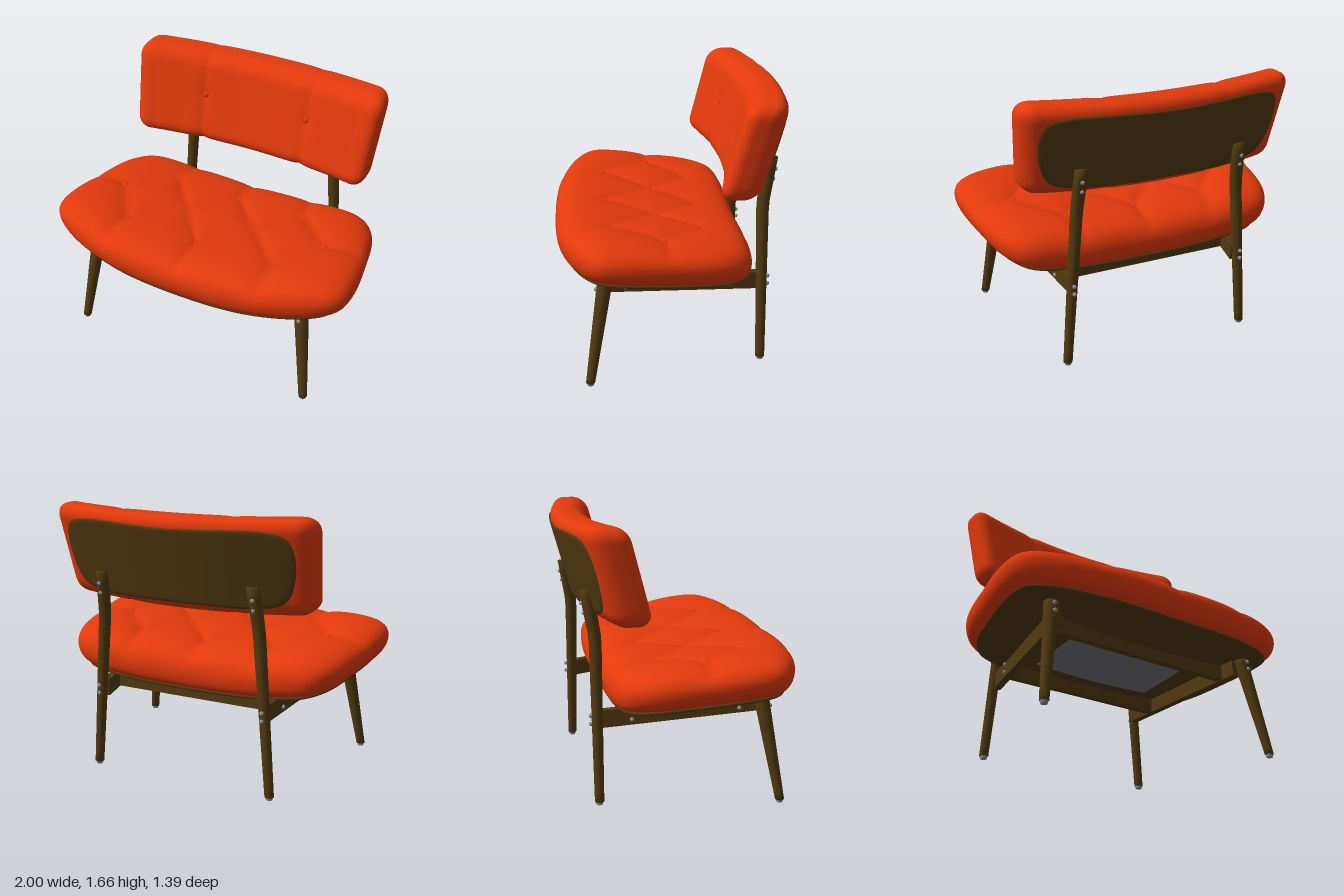
import * as THREE from 'three';
import { mergeVertices } from 'three/addons/utils/BufferGeometryUtils.js';

const mat = (name, color) => {
  const m = new THREE.MeshStandardMaterial({ color });
  m.name = name;
  return m;
};

// Closed, mirrored outline from half of its points (starting and ending on x = 0)
function outline(half, count) {
  const right = half.map(([x, v]) => new THREE.Vector3(x, v, 0));
  const left = half.slice(1, -1).reverse().map(([x, v]) => new THREE.Vector3(-x, v, 0));
  return new THREE.CatmullRomCurve3([...right, ...left], true).getSpacedPoints(count).slice(0, count);
}

// Lens-shaped pad: rings shrink from the outline to a pole on each side, place() sets each point
function pad(points, center, rows, topPower, bottomPower, place) {
  const pos = [], index = [], m = points.length;
  for (let j = 0; j <= rows; j++) {
    const a = (j / rows) * Math.PI, s = Math.sin(a), top = j <= rows / 2;
    const h = Math.sqrt(Math.max(0, 1 - s ** (top ? topPower : bottomPower))) * (top ? 1 : -1);
    for (const p of points) pos.push(...place(p.x * s, center + (p.y - center) * s, h));
    if (j === rows) break;
    for (let i = 0; i < m; i++) {
      const k = (i + 1) % m, r = j * m, q = r + m;
      index.push(r + i, q + i, q + k, r + i, q + k, r + k);
    }
  }
  const g = new THREE.BufferGeometry();
  g.setAttribute('position', new THREE.Float32BufferAttribute(pos, 3));
  g.setIndex(index);
  g.computeVertexNormals();
  return g;
}

function moveVertices(g, rule) {
  g.deleteAttribute('uv');
  g.deleteAttribute('normal');
  g = mergeVertices(g);
  const p = g.attributes.position, v = new THREE.Vector3();
  for (let i = 0; i < p.count; i++) {
    rule(v.fromBufferAttribute(p, i));
    p.setXYZ(i, v.x, v.y, v.z);
  }
  g.computeVertexNormals();
  return g;
}

// Tufting layout on the seat: buttons and the creases joining them
const halfButtons = [[0, -0.21], [0.46, -0.21], [0.24, 0.07], [0.71, 0.06], [0, 0.38], [0.5, 0.37]];
const halfCreases = [
  [0, -0.21, 0.24, 0.07], [0.24, 0.07, 0.46, -0.21], [0.46, -0.21, 0.71, 0.06],
  [0.71, 0.06, 0.5, 0.37], [0.5, 0.37, 0.24, 0.07], [0.24, 0.07, 0, 0.38],
  [0, -0.21, 0, -0.5], [0.46, -0.21, 0.41, -0.5], [0.71, 0.06, 1, 0.03],
  [0.5, 0.37, 0.53, 0.7], [0, 0.38, 0, 0.7],
];
function tuft(x, z) {
  x = Math.abs(x);
  let d = 1;
  for (const [ax, az, bx, bz] of halfCreases) {
    const ux = bx - ax, uz = bz - az;
    const t = THREE.MathUtils.clamp(((x - ax) * ux + (z - az) * uz) / (ux * ux + uz * uz), 0, 1);
    d = Math.min(d, Math.hypot(x - ax - t * ux, z - az - t * uz));
  }
  let b = 1;
  for (const [bx, bz] of halfButtons) b = Math.min(b, Math.hypot(x - bx, z - bz));
  return 0.026 * Math.exp(-d / 0.06) + 0.012 * Math.exp(-b / 0.05);
}
const seatMid = (x, z) => 0.705 + 0.085 * z + 0.075 * x * x;

// Curve and recline shared by the backrest cushion and its panel
const recline = (x, y, z) => [x * (1 + 0.08 * y), y + 1.365 + 0.025 * x * x, z - 0.525 + 0.16 * x * x - 0.27 * y];

export function createModel() {
  const model = new THREE.Group();
  const fabric = mat('orange fabric', 0xe23a0c);
  const wood = mat('dark wood', 0x523a10);
  const metal = mat('metal', 0x8c9096);
  const cloth = mat('grey dust cover', 0x77777a);
  const add = (name, geometry, material, pos = [0, 0, 0]) => {
    const mesh = new THREE.Mesh(geometry, material);
    mesh.name = name;
    mesh.position.set(...pos);
    model.add(mesh);
    return mesh;
  };

  // Seat cushion and the curved shell beneath it
  const seatLine = outline([[0, 0.685], [0.5, 0.655], [0.84, 0.55], [0.97, 0.45], [0.998, 0.32], [0.965, 0],
    [0.9, -0.29], [0.8, -0.42], [0.6, -0.465], [0, -0.47]], 160);
  add('seatCushion', pad(seatLine, 0.1, 90, 8, 20, (x, z, h) =>
    [x, seatMid(x, z) + (h > 0 ? h * (0.148 - tuft(x, z)) : h * 0.115), z]), fabric);
  add('seatShell', pad(seatLine, 0.1, 32, 40, 40, (x, z, h) =>
    [x * 0.93, seatMid(x * 0.93, z * 0.93) - 0.112 + 0.016 * h, 0.007 + z * 0.93]), wood);
  add('dustCover', moveVertices(new THREE.BoxGeometry(0.84, 0.006, 0.48, 12, 1, 1), (v) => {
    v.y += seatMid(v.x, v.z) - 0.13;
  }), cloth);

  // Backrest cushion: a rounded block, creased beside the middle, then curved
  const size = new THREE.Vector3(0.82, 0.285, 0.118), radius = 0.09;
  const core = size.clone().subScalar(radius);
  add('backCushion', moveVertices(new THREE.BoxGeometry(1.64, 0.57, 0.236, 90, 32, 14), (v) => {
    const c = v.clone().clamp(core.clone().negate(), core);
    v.sub(c).setLength(Math.min(radius, v.length() > 0 ? radius : 0)).add(c);
    const near = Math.abs(Math.abs(v.x) - 0.355);
    const dip = Math.exp(-near / 0.03), spot = Math.exp(-Math.hypot(near, v.y - 0.025) / 0.05);
    if (v.z > 0) v.z -= 0.014 * dip + 0.014 * spot;
    v.y *= 1 - 0.02 * dip;
    v.set(...recline(v.x, v.y, v.z));
  }), fabric);
  const panelLine = outline([[0, 0.215], [0.6, 0.215], [0.7, 0.18], [0.74, 0.09], [0.735, -0.09], [0.69, -0.19],
    [0.58, -0.23], [0, -0.235]], 96);
  add('backPanel', pad(panelLine, 0, 40, 40, 40, (x, y, h) => recline(x, y, -0.106 - 0.02 * h)), wood);

  // Buttons
  const button = new THREE.SphereGeometry(0.02, 16, 10);
  for (const [bx, bz] of halfButtons) {
    for (const side of bx ? [1, -1] : [1]) {
      const y = seatMid(bx, bz) + 0.146 - tuft(bx, bz);
      add('seatButton', button, fabric, [side * bx, y, bz]).scale.y = 0.6;
    }
  }
  for (const side of [1, -1]) add('backButton', button, fabric, recline(side * 0.35, 0.025, 0.098)).scale.z = 0.6;

  // Tapered leg running from its foot to its top, with an optional backward bend near the top
  const leg = (name, foot, top, rFoot, rTop, bend) => {
    const h = top[1] - foot[1];
    add(name, moveVertices(new THREE.CylinderGeometry(rTop, rFoot, h, 24, 20), (v) => {
      const t = v.y / h + 0.5;
      v.x += foot[0] + (top[0] - foot[0]) * t;
      v.z += foot[2] + (top[2] - foot[2]) * t - bend * Math.max(0, (t - 0.78) / 0.22);
      v.y += h / 2 + foot[1];
    }), wood);
    add('footGlide', new THREE.CylinderGeometry(rFoot * 0.85, rFoot * 0.7, 0.02, 16), metal, [foot[0], 0.01, foot[2]]);
  };
  // Straight board between two points
  const beam = (name, a, b, width, height) => {
    const A = new THREE.Vector3(...a), B = new THREE.Vector3(...b);
    const mid = A.clone().add(B).multiplyScalar(0.5);
    add(name, new THREE.BoxGeometry(width, height, A.distanceTo(B)), wood, mid.toArray()).lookAt(B);
  };
  const screwShape = new THREE.SphereGeometry(0.013, 12, 8);
  const screw = (x, y, z) => add('screw', screwShape, metal, [x, y, z]);

  // Legs, side rails and screws on both sides
  for (const s of [1, -1]) {
    leg('frontLeg', [s * 0.805, 0.018, 0.5], [s * 0.715, 0.655, 0.395], 0.027, 0.046, 0);
    leg('backLeg', [s * 0.595, 0.018, -0.545], [s * 0.497, 1.27, -0.54], 0.028, 0.04, 0.045);
    beam('sideRail', [s * 0.665, 0.592, 0.39], [s * 0.54, 0.514, -0.53], 0.045, 0.105);
    for (const y of [0.63, 0.58]) screw(s * 0.725, y, 0.395 + 0.044 + (0.655 - y) * 0.165);
    for (const y of [0.61, 0.56]) screw(s * 0.676, y, 0.28);
    for (const y of [0.56, 0.51]) screw(s * 0.59, y, -0.345);
    for (const y of [0.54, 0.49]) screw(s * 0.555, y, -0.58);
    for (const y of [1.2, 1.14]) screw(s * 0.505, y, y > 1.17 ? -0.612 : -0.6);
  }
  beam('frontCrossRail', [-0.65, 0.583, 0.28], [0.65, 0.583, 0.28], 0.045, 0.1);
  beam('backCrossRail', [-0.565, 0.527, -0.345], [0.565, 0.527, -0.345], 0.045, 0.1);
  return model;
}
